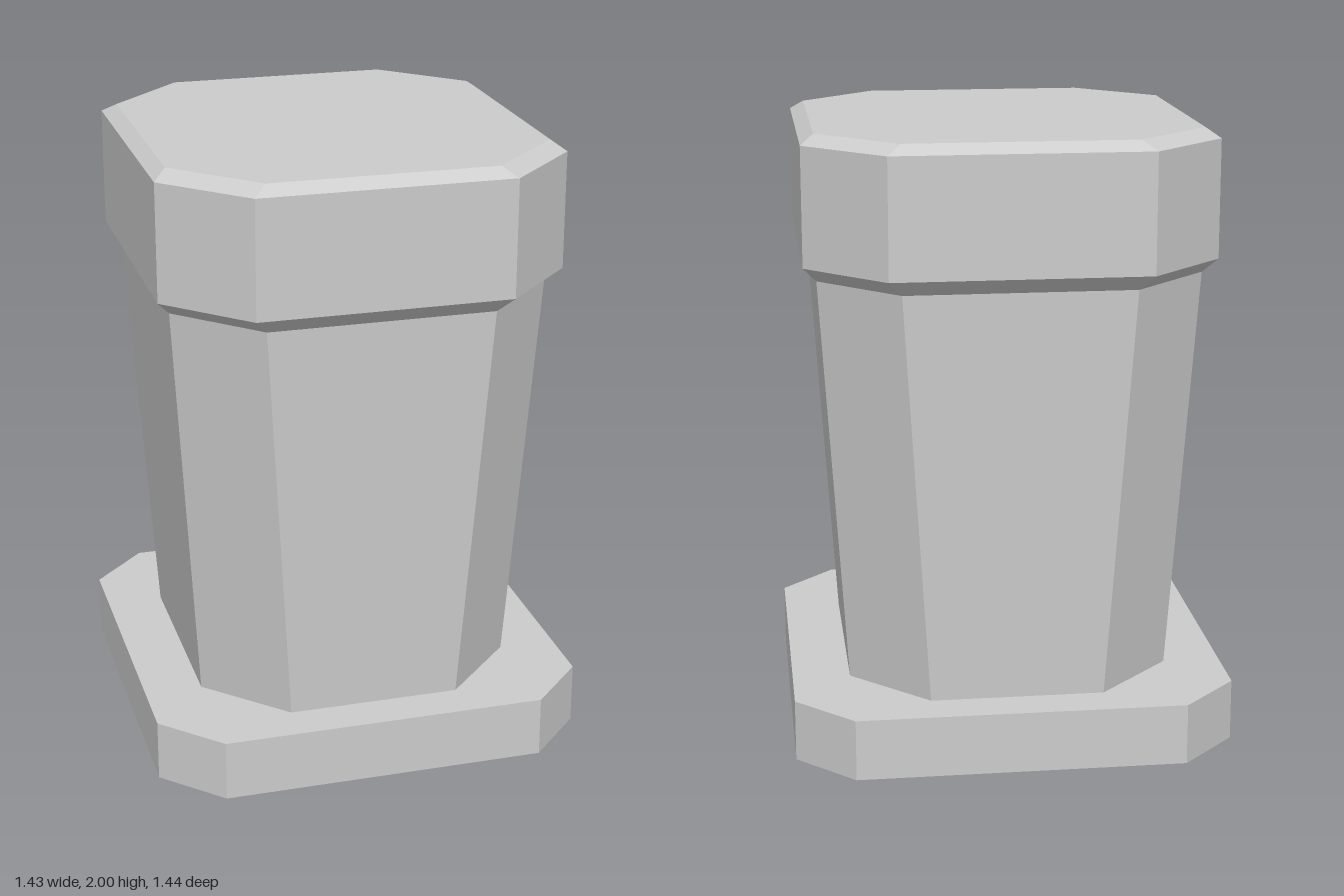
import * as THREE from 'three';

// Chamfered-rectangle ring: half sizes hx, hz; chamfers begin at ix, iz
function ring([y, hx, hz, ix, iz]) {
  return [
    [hx, -iz], [hx, iz], [ix, hz], [-ix, hz],
    [-hx, iz], [-hx, -iz], [-ix, -hz], [ix, -hz],
  ].map(([x, z]) => [x, y, z]);
}

// Closed solid through a stack of rings, bottom to top
function loft(name, sections, material) {
  const rings = sections.map(ring);
  const pos = [];
  const tri = (...pts) => pts.forEach((p) => pos.push(...p));
  const bottom = rings[0];
  const top = rings[rings.length - 1];
  for (let i = 0; i < 8; i++) {
    const j = (i + 1) % 8;
    for (let k = 0; k < rings.length - 1; k++) {
      const lo = rings[k], hi = rings[k + 1];
      tri(lo[i], hi[i], hi[j]);
      tri(lo[i], hi[j], lo[j]);
    }
    tri([0, bottom[0][1], 0], bottom[i], bottom[j]);
    tri([0, top[0][1], 0], top[j], top[i]);
  }
  const geometry = new THREE.BufferGeometry();
  geometry.setAttribute('position', new THREE.Float32BufferAttribute(pos, 3));
  geometry.computeVertexNormals();
  const mesh = new THREE.Mesh(geometry, material);
  mesh.name = name;
  return mesh;
}

export function createModel() {
  const group = new THREE.Group();
  group.name = 'post';
  const grey = new THREE.MeshStandardMaterial({ color: 0xcccccc, flatShading: true });

  // Sections: [y, hx, hz, ix, iz]
  const base = [[0, 0.713, 0.722, 0.53, 0.538], [0.2, 0.713, 0.722, 0.53, 0.538]];
  const shaft = [[0.2, 0.525, 0.585, 0.28, 0.34], [1.54, 0.61, 0.647, 0.363, 0.4]];
  const cap = [
    [1.54, 0.61, 0.647, 0.363, 0.4],
    [1.59, 0.653, 0.692, 0.406, 0.445],
    [1.97, 0.653, 0.692, 0.406, 0.445],
    [2, 0.61, 0.647, 0.363, 0.4],
  ];
  group.add(loft('base', base, grey), loft('shaft', shaft, grey), loft('cap', cap, grey));
  return group;
}
